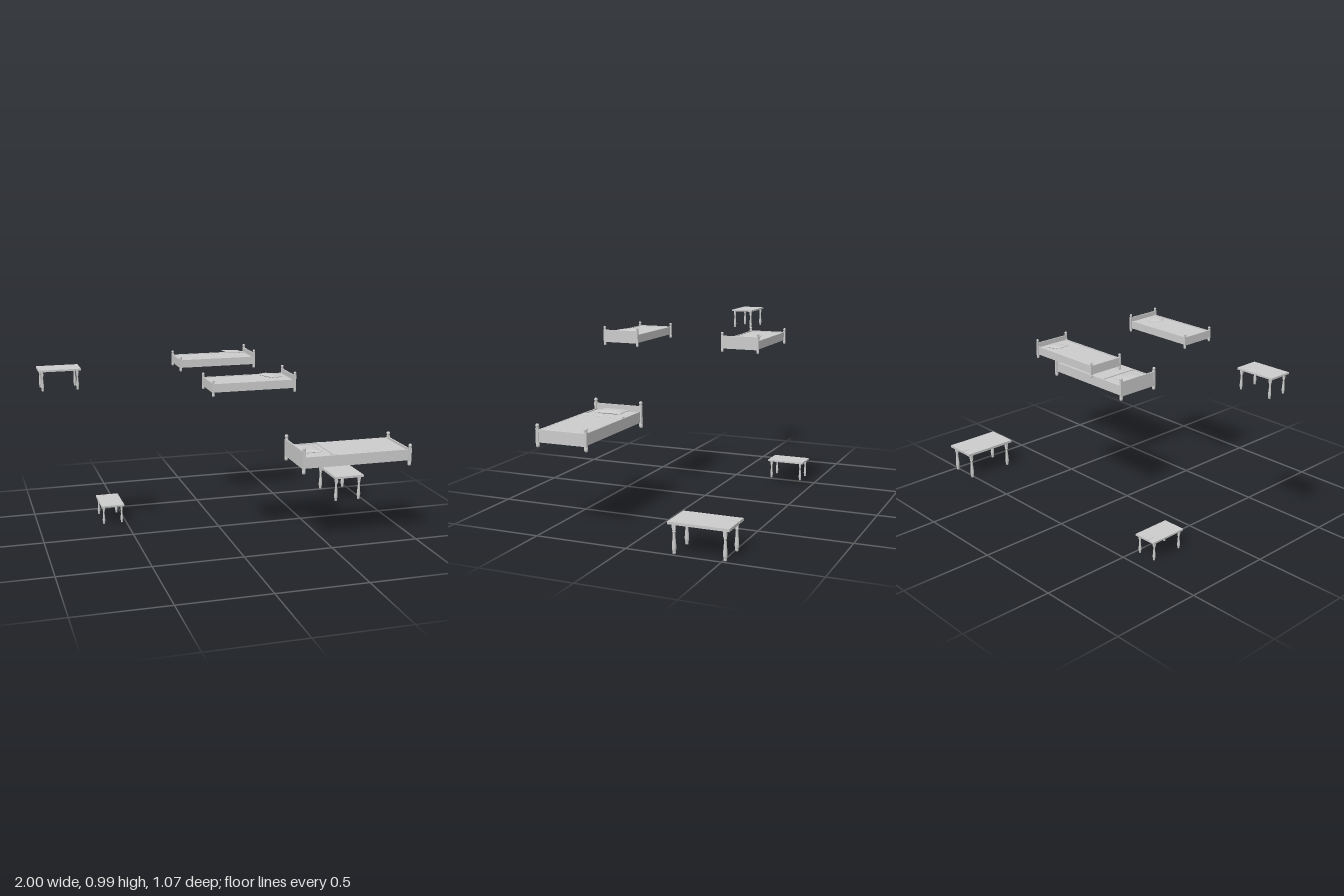
import * as THREE from 'three';
import { RoundedBoxGeometry } from 'three/addons/geometries/RoundedBoxGeometry.js';

const material = new THREE.MeshStandardMaterial({ color: 0xcccccc });

function add(parent, name, geometry, x = 0, y = 0, z = 0) {
  const mesh = new THREE.Mesh(geometry, material);
  mesh.name = name;
  mesh.position.set(x, y, z);
  parent.add(mesh);
  return mesh;
}

const box = (w, h, d) => new THREE.BoxGeometry(w, h, d);
const lathe = (profile) =>
  new THREE.LatheGeometry(profile.map(([r, y]) => new THREE.Vector2(r, y)), 16);

// Table with turned legs; its long side runs along z
function makeTable(name, x, y, z, scale, turn = 0) {
  const table = new THREE.Group();
  table.name = name;
  const W = 0.095, L = 0.158;

  // Top board with a narrow crack at the back edge
  const board = new THREE.Shape();
  board.moveTo(-W, -L);
  board.lineTo(W, -L);
  board.lineTo(W, L);
  board.lineTo(-0.031, L);
  board.lineTo(-0.033, L - 0.08);
  board.lineTo(-0.036, L);
  board.lineTo(-W, L);
  const top = new THREE.ExtrudeGeometry(board, { depth: 0.014, bevelEnabled: false });
  top.rotateX(-Math.PI / 2);
  add(table, 'tableTop', top, 0, 0.149, 0);

  // Square block above a turned, bulging leg
  const leg = lathe([[0, 0], [0.007, 0], [0.0085, 0.004], [0.0085, 0.008], [0.008, 0.012],
    [0.0105, 0.022], [0.0112, 0.034], [0.0095, 0.055], [0.0075, 0.08], [0.006, 0.104],
    [0.0085, 0.108], [0.0085, 0.113], [0.006, 0.117], [0.006, 0.122]]);
  for (const sx of [-1, 1]) for (const sz of [-1, 1]) {
    add(table, 'turnedLeg', leg, sx * 0.076, 0, sz * 0.131);
    add(table, 'legBlock', box(0.016, 0.03, 0.016), sx * 0.076, 0.134, sz * 0.131);
  }
  table.position.set(x, y, z);
  table.rotation.y = turn;
  table.scale.setScalar(scale);
  return table;
}

// Soft cushion, thinning towards its edges
function pillowGeometry() {
  const g = new THREE.BoxGeometry(0.155, 0.02, 0.11, 14, 2, 10);
  const p = g.attributes.position;
  for (let i = 0; i < p.count; i++) {
    const u = p.getX(i) / 0.0775, v = p.getZ(i) / 0.055;
    p.setY(i, p.getY(i) * (0.15 + 0.85 * (1 - u ** 4) * (1 - v ** 4)));
    p.setX(i, p.getX(i) * (1 - 0.04 * (1 - v * v)));
    p.setZ(i, p.getZ(i) * (1 - 0.05 * (1 - u * u)));
  }
  g.computeVertexNormals();
  return g;
}

// Bed post with a turned foot and a round finial
function makePost(h) {
  const post = new THREE.Group();
  post.name = 'bedPost';
  add(post, 'postFoot', lathe([[0, 0], [0.007, 0], [0.0095, 0.004], [0.0102, 0.012],
    [0.0095, 0.02], [0.007, 0.025]]));
  add(post, 'postShaft', box(0.015, h - 0.045, 0.015), 0, 0.022 + (h - 0.045) / 2, 0);
  add(post, 'postFinial', lathe([[0.0065, h - 0.025], [0.0095, h - 0.022], [0.0065, h - 0.019],
    [0.0095, h - 0.014], [0.0102, h - 0.009], [0.008, h - 0.003], [0.004, h - 0.0005], [0, h]]));
  return post;
}

// Bed with its head towards -x
function makeBed(name, x, y, z, scale, turn, pillow, blanket) {
  const bed = new THREE.Group();
  bed.name = name;

  // Head and foot: two posts and a panel each
  const ends = [['headboard', -0.304, 0.147, 0.119], ['footboard', 0.304, 0.121, 0.091]];
  for (const [label, px, postHeight, panelTop] of ends) {
    for (const s of [-1, 1]) {
      const post = makePost(postHeight);
      post.position.set(px, 0, s * 0.138);
      bed.add(post);
    }
    add(bed, label, box(0.009, panelTop - 0.025, 0.27), px, (panelTop + 0.025) / 2, 0);
  }

  // Side rails
  for (const s of [-1, 1])
    add(bed, 'sideRail', box(0.6, 0.061, 0.009), 0, 0.0585, s * 0.131);

  // Slats across the frame
  for (let i = 0; i < 11; i++)
    add(bed, 'slat', box(0.026, 0.008, 0.256), -0.27 + i * 0.054, 0.04, 0);

  add(bed, 'mattress', new RoundedBoxGeometry(0.584, 0.042, 0.25, 3, 0.008), -0.006, 0.066, 0);

  // Blanket with a folded upper edge
  if (blanket) {
    add(bed, 'blanket', new RoundedBoxGeometry(0.405, 0.008, 0.252, 2, 0.003), 0.084, 0.0855, 0);
    add(bed, 'blanketFold', new RoundedBoxGeometry(0.033, 0.009, 0.252, 3, 0.004), -0.12, 0.0895, 0);
  }

  const cushion = add(bed, 'pillow', pillowGeometry(), pillow.x, pillow.y, pillow.z);
  cushion.rotation.set(0, pillow.turn, pillow.tilt, 'ZYX');

  bed.position.set(x, y, z);
  bed.rotation.y = turn;
  bed.scale.setScalar(scale);
  return bed;
}

export function createModel() {
  const model = new THREE.Group();
  model.name = 'bedsAndTables';
  model.add(
    makeTable('largeTable', 0.902, 0, -0.379, 1),
    makeTable('smallTableLow', -0.577, 0, -0.312, 0.69),
    makeTable('smallTableHigh', -0.891, 0.878, 0.077, 0.69, Math.PI / 2),
    makeBed('largeBed', 0.62, 0.44, 0.386, 1, 0,
      { x: -0.228, y: 0.095, z: -0.002, turn: Math.PI / 2, tilt: 0 }, true),
    makeBed('smallBedBack', 0.053, 0.877, -0.309, 0.717, Math.PI,
      { x: -0.184, y: 0.104, z: 0.057, turn: 0.22, tilt: 0.08 }, false),
    makeBed('smallBedFront', 0.053, 0.877, 0.385, 0.717, Math.PI,
      { x: -0.158, y: 0.104, z: -0.01, turn: -0.93, tilt: 0.08 }, false),
  );
  return model;
}
